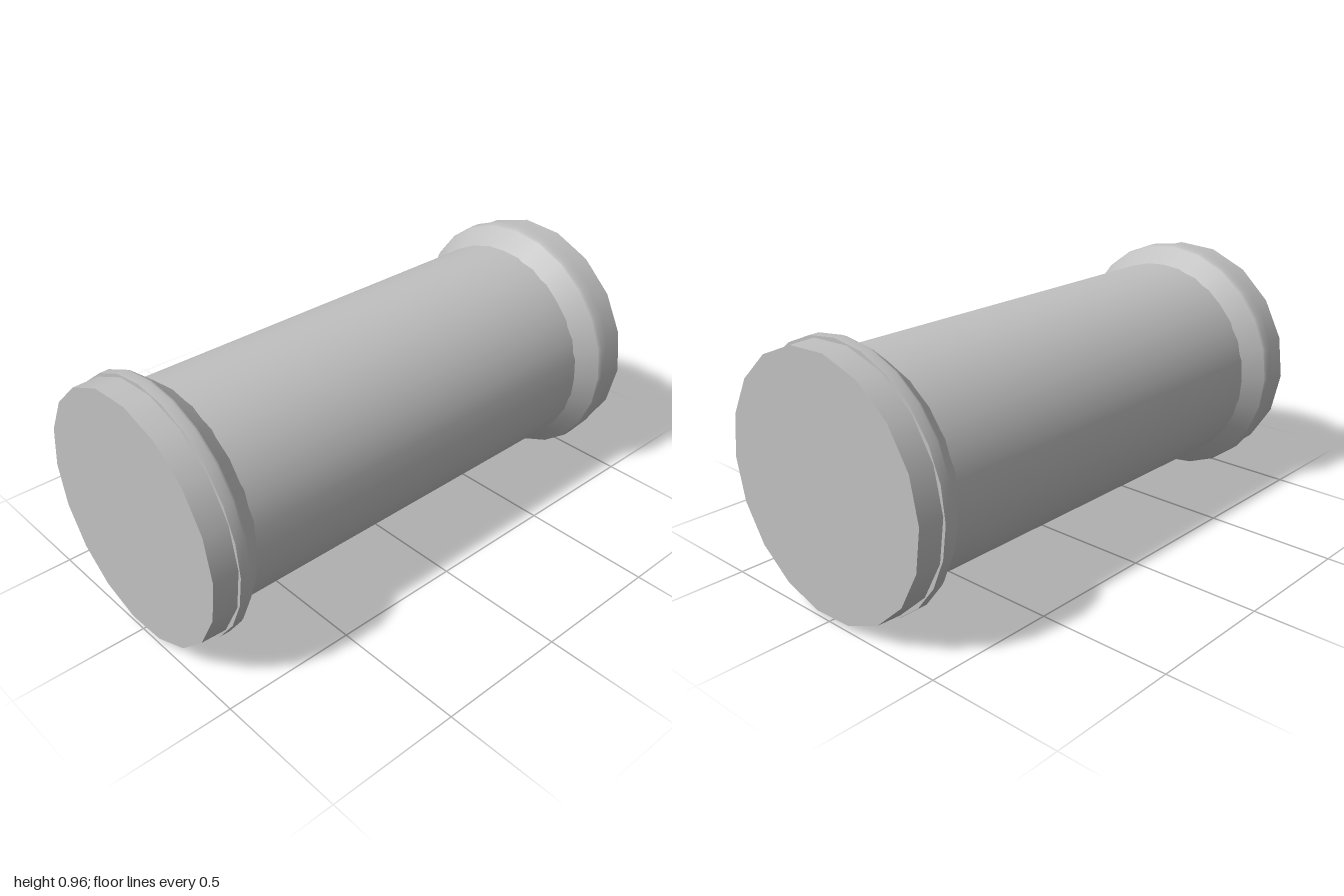
import * as THREE from 'three';

const CENTRE_Y = 0.478;

export function createModel() {
  const group = new THREE.Group();
  const grey = new THREE.MeshStandardMaterial({ color: 0xc0c0c0 });
  grey.name = 'plain grey';

  // Surface of revolution around z from [radius, z] pairs running towards +z
  const turned = (name, profile, sides, turn = 0) => {
    const points = profile.map(([r, z]) => new THREE.Vector2(r, z));
    const geometry = new THREE.LatheGeometry(points, sides, turn);
    geometry.rotateX(Math.PI / 2);
    const mesh = new THREE.Mesh(geometry, grey);
    mesh.name = name;
    return mesh;
  };

  // Straight middle tube
  const body = turned('body', [[0.41, -0.8], [0.41, 0.8]], 32);
  body.position.y = CENTRE_Y;
  group.add(body);

  // Matching flared ends, the second turned to face the back
  for (const [side, angle] of [['front', 0], ['back', Math.PI]]) {
    const end = new THREE.Group();
    end.name = `${side}End`;
    end.add(
      turned('flare', [[0.408, 0.785], [0.425, 0.805], [0.472, 0.86]], 24),
      turned('collar', [[0.472, 0.86], [0.478, 0.872], [0.477, 0.907]], 24),
      turned('collarStep', [[0.477, 0.907], [0.45, 0.907]], 24),
      turned('rim', [[0.468, 0.905], [0.465, 1]], 18, 0.22),
      turned('endCap', [[0.465, 1], [0, 1]], 18, 0.22)
    );
    end.rotation.y = angle;
    end.position.y = CENTRE_Y;
    group.add(end);
  }
  return group;
}
